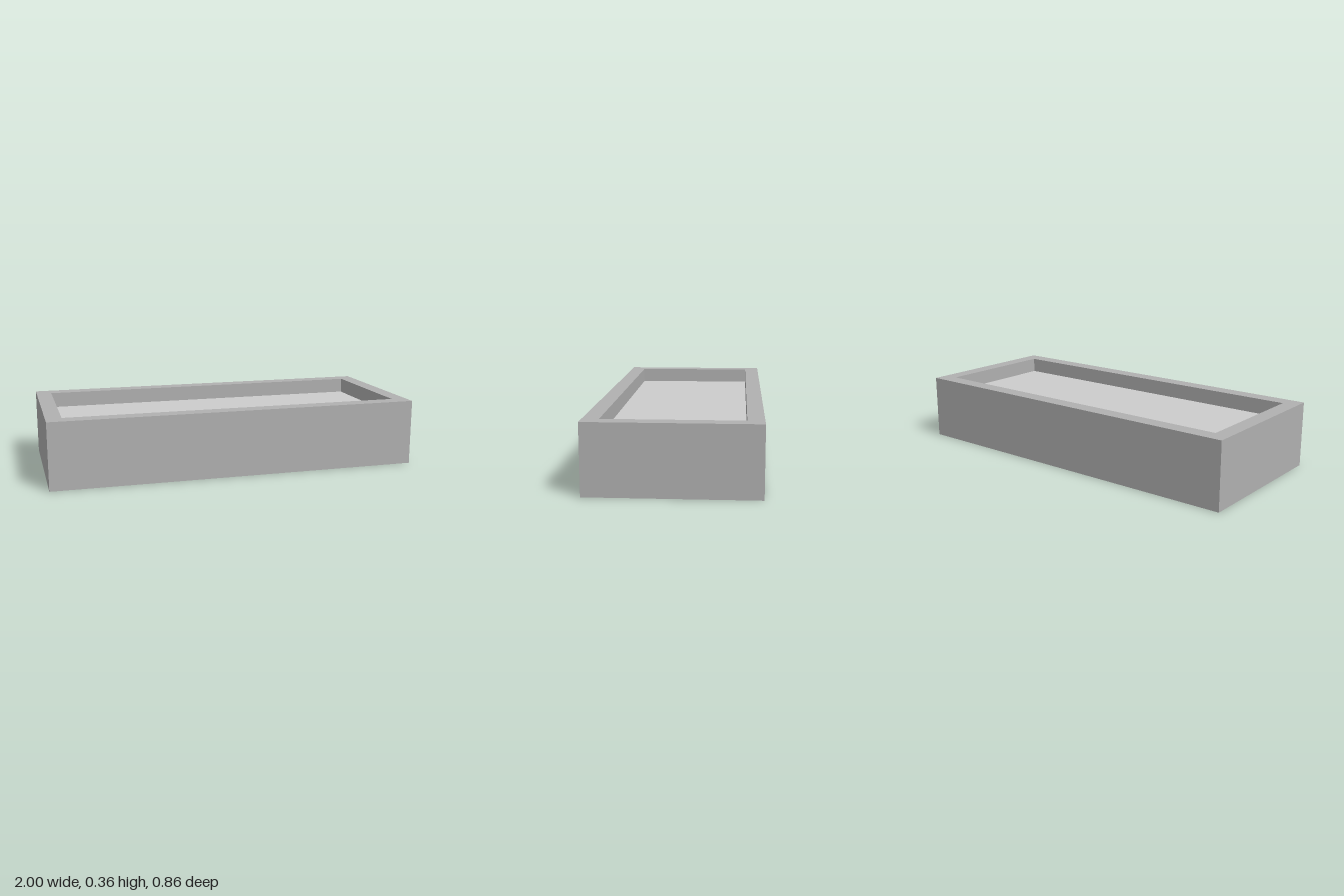
import * as THREE from 'three';

const W = 1, D = 0.428, H = 0.357; // half width, half depth, height
const WALL = 0.083;
const IX = W - WALL, IZ = D - WALL; // inner half sizes
const FLOOR = H - WALL;             // height of the sunken floor
const PLATE = 0.004;

const polygon = (points) => new THREE.Shape(points.map(([x, y]) => new THREE.Vector2(x, y)));
const rectangle = (x, y) => [[-x, -y], [x, -y], [x, y], [-x, y]];

function addMesh(group, name, geometry, material) {
  const mesh = new THREE.Mesh(geometry, material);
  mesh.name = name;
  group.add(mesh);
  return mesh;
}

export function createModel() {
  const group = new THREE.Group();
  group.name = 'tray';

  const bodyGrey = new THREE.MeshStandardMaterial({ color: 0xb0b0b0 });
  bodyGrey.name = 'body grey';
  const floorGrey = new THREE.MeshStandardMaterial({ color: 0xcccccc });
  floorGrey.name = 'light floor grey';

  // Four outer walls as one upright frame
  const frame = polygon(rectangle(W, D));
  frame.holes.push(polygon(rectangle(IX, IZ)));
  const walls = new THREE.ExtrudeGeometry(frame, { depth: H, bevelEnabled: false });
  walls.rotateX(-Math.PI / 2);
  addMesh(group, 'outerWalls', walls, bodyGrey);

  // Solid core, with a stepped slot cut into the underside near the +x end
  const top = FLOOR - PLATE;
  const profile = polygon([
    [-IX, 0], [0.66, 0], [0.66, WALL], [0.74, WALL],
    [0.74, FLOOR - WALL], [IX, FLOOR - WALL], [IX, top], [-IX, top],
  ]);
  const core = new THREE.ExtrudeGeometry(profile, { depth: 2 * IZ, bevelEnabled: false });
  core.translate(0, 0, -IZ);
  addMesh(group, 'coreWithSlot', core, bodyGrey);

  // Thin light plate covering the sunken floor
  const plate = new THREE.BoxGeometry(2 * IX, PLATE, 2 * IZ);
  addMesh(group, 'sunkenFloor', plate, floorGrey).position.y = FLOOR - PLATE / 2;

  return group;
}
